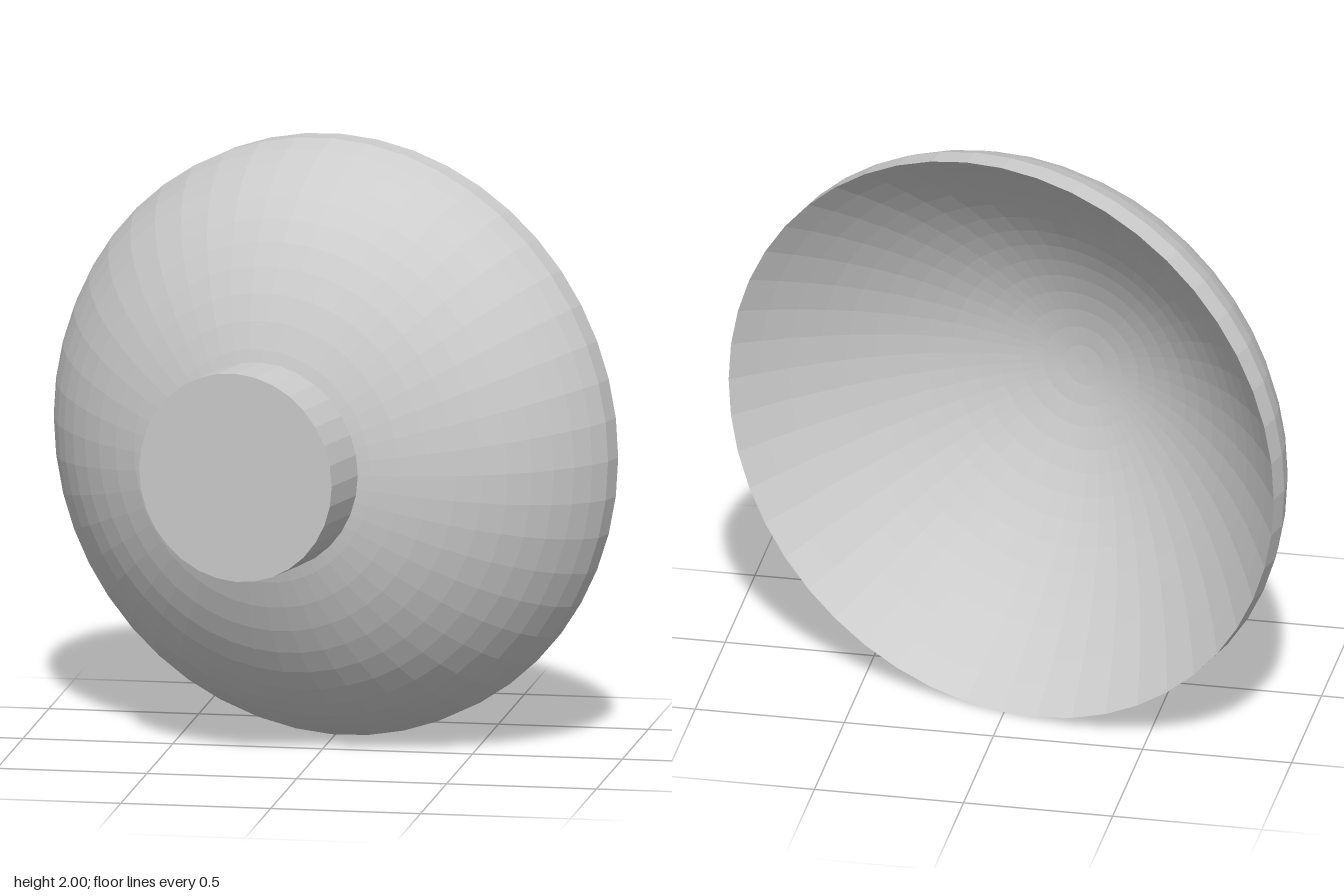
import * as THREE from 'three';

export function createModel() {
  const model = new THREE.Group();
  const grey = new THREE.MeshStandardMaterial({ color: 0xcccccc, side: THREE.DoubleSide, flatShading: true });
  grey.name = 'grey';

  // Every part is turned about one axis, which runs from the rim (0) to the mount
  const turned = (name, profile, sides) => {
    const points = profile.map(([r, d]) => new THREE.Vector2(r, d));
    const geometry = new THREE.LatheGeometry(points, sides);
    geometry.rotateX(Math.PI / 2);
    const mesh = new THREE.Mesh(geometry, grey);
    mesh.name = name;
    return mesh;
  };

  // Outer shell: a short straight rim band, then a flattened dome
  const a = 1.02, b = 0.745, centre = -0.067, rings = 14;
  const start = Math.acos(1 / a);
  const shellProfile = [[1, 0]];
  for (let i = 0; i <= rings; i++) {
    const t = start + (Math.PI / 2 - start) * i / rings;
    shellProfile.push([i === rings ? 0 : a * Math.cos(t), centre + b * Math.sin(t)]);
  }

  // Inner face: a shallower parabolic hollow sharing the rim edge
  const hollowProfile = [];
  for (let i = 0; i <= rings; i++) {
    const r = i / rings;
    hollowProfile.push([r, 0.615 * (1 - r * r)]);
  }

  // Round mount on the dome, open where it meets the shell
  const mountProfile = [[0.349, 0.62], [0.349, 0.837], [0, 0.837]];

  const dish = new THREE.Group();
  dish.name = 'dish';
  dish.add(
    turned('outerShell', shellProfile, 48),
    turned('innerFace', hollowProfile, 48),
    turned('mount', mountProfile, 32),
  );
  dish.rotation.y = -Math.PI / 12;
  dish.position.set(0.01, 1, -0.32);
  model.add(dish);
  return model;
}
